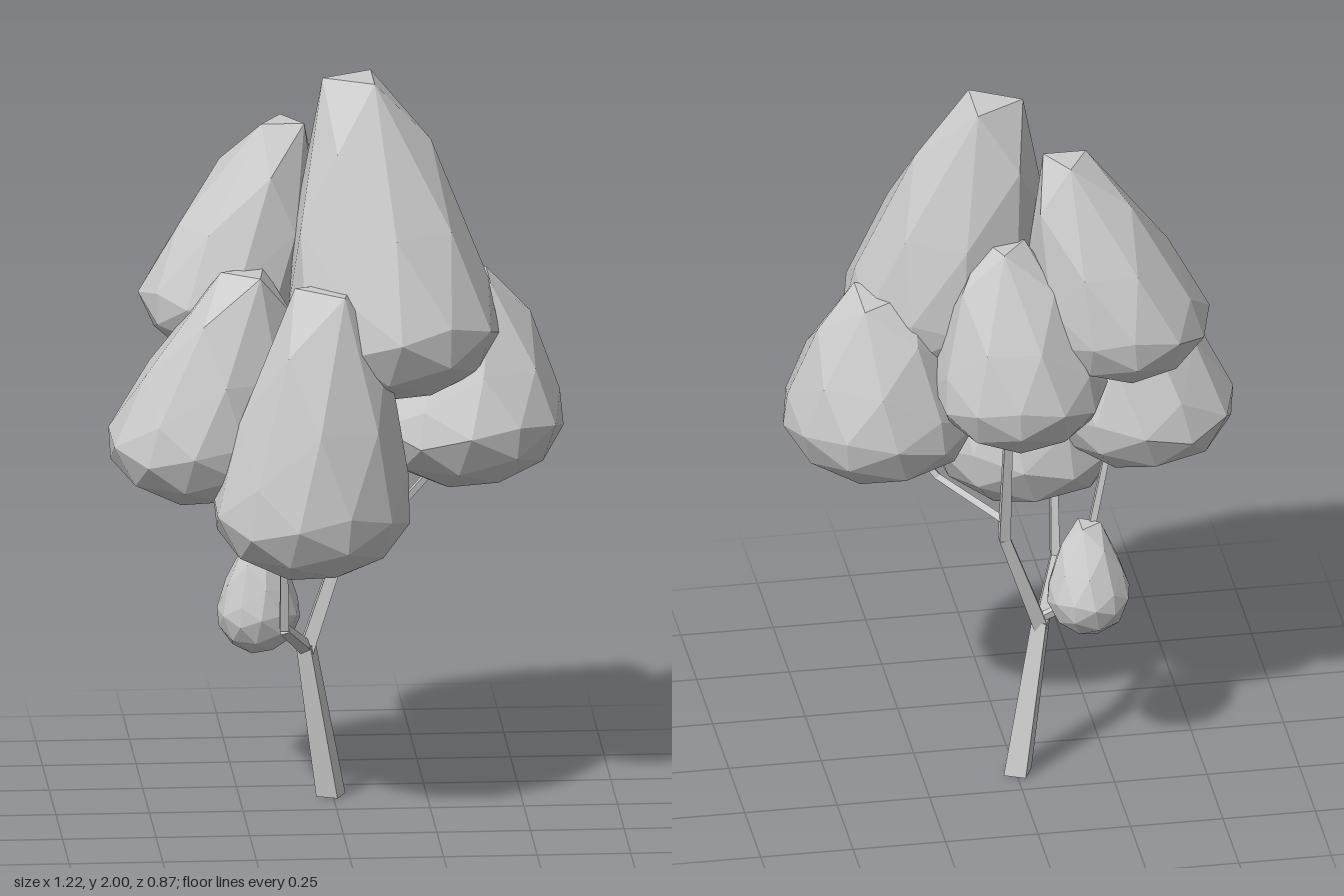
import * as THREE from 'three';

const material = new THREE.MeshStandardMaterial({ color: 0xcccccc, flatShading: true });
const UP = new THREE.Vector3(0, 1, 0);
const faceUp = new THREE.Quaternion().setFromUnitVectors(new THREE.Vector3(1, 1, 1).normalize(), UP);
const TOP = 0.934; // height of the ball's uppermost triangle once a face points up

// Teardrop leaf clump: a faceted ball, face up, with its upper half drawn to a leaning tip.
// yaw is the direction a corner of the tip triangle points, turning from +z towards +x.
function foliage(name, [x, y, z], rx, rz, up, down, leanX, leanZ, yaw, tip) {
  const geo = new THREE.IcosahedronGeometry(1, 1).applyQuaternion(faceUp).rotateY(yaw - 0.127);
  const pos = geo.attributes.position;
  for (let i = 0; i < pos.count; i++) {
    const t = pos.getY(i) / TOP;
    const rise = t > 0 ? t ** 1.85 : 0;
    const flare = t > 0.95 ? tip : 1;
    pos.setXYZ(
      i,
      pos.getX(i) * rx * flare + leanX * rise,
      t > 0 ? up * rise : t * down,
      pos.getZ(i) * rz * flare + leanZ * rise
    );
  }
  geo.computeVertexNormals();
  const mesh = new THREE.Mesh(geo, material);
  mesh.position.set(x, y, z);
  mesh.name = name;
  return mesh;
}

// Square tapered limb following a few points; each point is [x, y, z, radius]
function limb(name, points) {
  const group = new THREE.Group();
  group.name = name;
  for (let i = 0; i < points.length - 1; i++) {
    const a = new THREE.Vector3(...points[i]);
    const b = new THREE.Vector3(...points[i + 1]);
    const dir = b.clone().sub(a);
    const geo = new THREE.CylinderGeometry(points[i + 1][3], points[i][3], dir.length(), 4);
    geo.rotateY(Math.PI / 4);
    const mesh = new THREE.Mesh(geo, material);
    mesh.position.copy(a).add(b).multiplyScalar(0.5);
    mesh.quaternion.setFromUnitVectors(UP, dir.normalize());
    mesh.name = name + 'Segment';
    group.add(mesh);
  }
  return group;
}

// Trunk with its foot cut flat on the ground
function trunk() {
  const height = 0.43;
  const geo = new THREE.CylinderGeometry(0.029, 0.043, height, 4).rotateY(0.36);
  const pos = geo.attributes.position;
  for (let i = 0; i < pos.count; i++) {
    const k = pos.getY(i) / height + 0.5;
    pos.setXYZ(i, pos.getX(i) - 0.005 - 0.07 * k, k * height, pos.getZ(i) - 0.15 + 0.045 * k);
  }
  geo.computeVertexNormals();
  const mesh = new THREE.Mesh(geo, material);
  mesh.name = 'trunk';
  return mesh;
}

export function createModel() {
  const tree = new THREE.Group();
  tree.name = 'tree';
  const q = Math.PI / 2;

  tree.add(
    trunk(),
    limb('mainBranch', [[-0.075, 0.41, -0.105, 0.027], [0.03, 0.71, -0.145, 0.021], [0.03, 1.12, -0.22, 0.014]]),
    limb('rightBranch', [[0.035, 0.77, -0.15, 0.014], [0.19, 0.85, -0.03, 0.012], [0.27, 0.95, 0, 0.011]]),
    limb('frontBranch', [[-0.075, 0.42, -0.105, 0.022], [-0.145, 0.52, 0.075, 0.017], [-0.15, 0.76, 0.125, 0.013]]),
    limb('leftBranch', [[-0.08, 0.44, -0.105, 0.013], [-0.18, 0.5, -0.13, 0.013], [-0.21, 0.68, -0.1, 0.013], [-0.27, 0.92, -0.05, 0.011]])
  );

  // name, centre, radius x and z, height up and down, lean x and z, tip direction and width
  tree.add(
    foliage('topFoliage', [0.152, 1.365, 0.058], 0.285, 0.28, 0.635, 0.2, -0.095, -0.133, -q, 0.88),
    foliage('frontFoliage', [-0.08, 0.88, 0.16], 0.27, 0.278, 0.61, 0.18, 0.05, 0.04, 2.43, 1),
    foliage('rightFoliage', [0.343, 1.08, -0.027], 0.27, 0.28, 0.365, 0.18, 0.02, -0.06, -q, 1),
    foliage('leftFoliage', [-0.365, 1.035, -0.01], 0.255, 0.255, 0.465, 0.17, 0.125, 0.06, 0.4, 0.8),
    foliage('backLeftFoliage', [-0.285, 1.39, -0.185], 0.233, 0.236, 0.47, 0.165, 0.15, 0.02, Math.PI, 0.8),
    foliage('backFoliage', [0, 1.22, -0.22], 0.234, 0.225, 0.41, 0.165, 0.04, 0.02, 0.9, 0.75),
    foliage('smallFoliage', [-0.2, 0.52, -0.13], 0.113, 0.122, 0.195, 0.11, 0, 0.02, -q, 0.9)
  );
  return tree;
}
